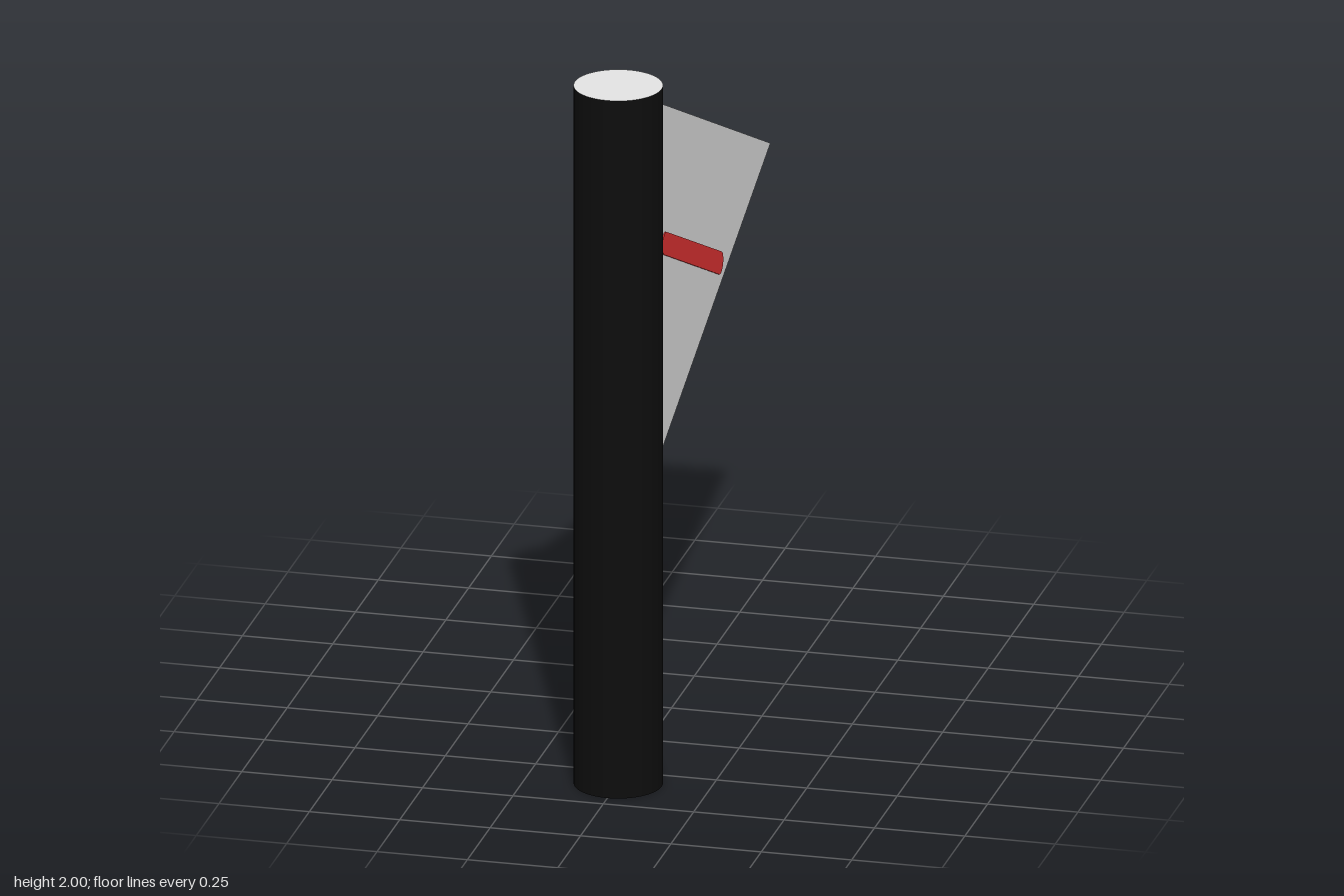
import * as THREE from 'three';

export function createModel() {
  const group = new THREE.Group();
  const mat = (name, color) => {
    const m = new THREE.MeshStandardMaterial({ color });
    m.name = name;
    return m;
  };
  const black = mat('black', 0x0d0d0d);
  const grey = mat('light grey', 0xe4e4e4);
  const red = mat('red', 0xe43434);

  const add = (name, geometry, material) => {
    const mesh = new THREE.Mesh(geometry, material);
    mesh.name = name;
    group.add(mesh);
    return mesh;
  };

  // Shapes are drawn in (z, y) and extruded across x, centred on the given x
  const sideExtrude = (shape, depth, x) =>
    new THREE.ExtrudeGeometry(shape, { depth, bevelEnabled: false, curveSegments: 12 })
      .translate(0, 0, -depth / 2)
      .rotateY(-Math.PI / 2)
      .translate(x, 0, 0);

  // Upright pole: black wall, light end caps
  const poleZ = 0.585, poleR = 0.12;
  add('pole', new THREE.CylinderGeometry(poleR, poleR, 2, 64), [black, grey, grey])
    .position.set(0, 1, poleZ);

  // Thick triangular flag
  const halfWidth = 0.096;
  const top = new THREE.Vector2(0.51, 1.93), tip = new THREE.Vector2(-0.705, 1.37);
  const triangle = new THREE.Shape([top, tip, new THREE.Vector2(0.51, 0.92)]);
  add('flag', sideExtrude(triangle, halfWidth * 2, 0), grey);

  // Round-ended red stripe on both faces of the flag
  const a = new THREE.Vector2(0.46, 1.51), b = new THREE.Vector2(-0.145, 1.232);
  const r = 0.031, angle = Math.atan2(b.y - a.y, b.x - a.x);
  const stripe = new THREE.Shape();
  stripe.absarc(b.x, b.y, r, angle - Math.PI / 2, angle + Math.PI / 2);
  stripe.absarc(a.x, a.y, r, angle + Math.PI / 2, angle + Math.PI * 1.5);
  for (const side of [1, -1]) {
    add(side > 0 ? 'leftStripe' : 'rightStripe',
      sideExtrude(stripe, 0.006, side * halfWidth), red);
  }

  // Small dark sliver on the flag's upper slope
  const slope = Math.atan2(top.y - tip.y, top.x - tip.x);
  const mark = add('slopeMark', new THREE.CylinderGeometry(1, 1, 0.006, 20), black);
  mark.scale.set(0.008, 1, 0.108);
  mark.rotation.x = -slope;
  mark.position.set(-0.088, top.y - (top.x - 0.36) * Math.tan(slope), 0.36);

  // Small light sliver on the back of the pole
  const chip = add('poleMark',
    new THREE.CylinderGeometry(1, 1, 0.006, 20).rotateX(Math.PI / 2), grey);
  chip.scale.set(0.011, 0.05, 1);
  chip.rotation.y = Math.atan2(-0.58, -0.82);
  chip.position.set(-0.58 * poleR, 0.42, poleZ - 0.82 * poleR);

  return group;
}
